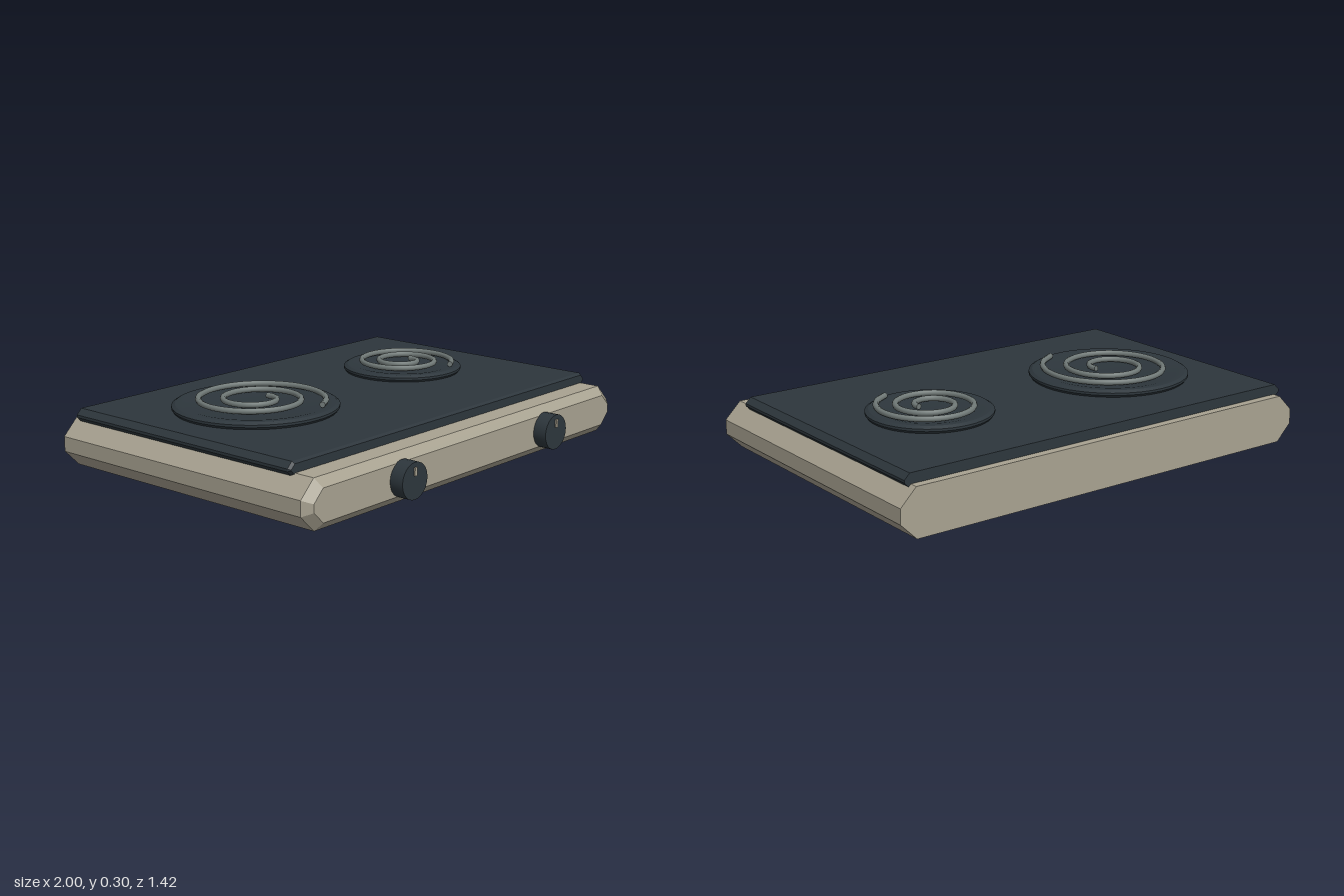
import * as THREE from 'three';
import { toCreasedNormals } from 'three/addons/utils/BufferGeometryUtils.js';

// Octagonal outline (a rectangle with cut corners), counter-clockwise seen from +z
function octagon(hx, y0, y1, cut, z) {
  return [
    [-hx + cut, y0], [hx - cut, y0], [hx, y0 + cut], [hx, y1 - cut],
    [hx - cut, y1], [-hx + cut, y1], [-hx, y1 - cut], [-hx, y0 + cut],
  ].map(([x, y]) => [x, y, z]);
}

// Joins outlines from back to front and closes both ends
function loft(rings) {
  const pos = [];
  const tri = (a, b, c) => pos.push(...a, ...b, ...c);
  for (let r = 0; r < rings.length - 1; r++) {
    const p = rings[r], q = rings[r + 1];
    for (let i = 0; i < p.length; i++) {
      const j = (i + 1) % p.length;
      tri(p[i], p[j], q[j]);
      tri(p[i], q[j], q[i]);
    }
  }
  const back = rings[0], front = rings[rings.length - 1];
  for (let i = 1; i < back.length - 1; i++) {
    tri(back[0], back[i + 1], back[i]);
    tri(front[0], front[i], front[i + 1]);
  }
  const geo = new THREE.BufferGeometry();
  geo.setAttribute('position', new THREE.Float32BufferAttribute(pos, 3));
  geo.computeVertexNormals();
  return geo;
}

export function createModel() {
  const material = (name, color) => {
    const m = new THREE.MeshStandardMaterial({ color });
    m.name = name;
    return m;
  };
  const beige = material('beige enamel', 0xa8a291);
  const dark = material('dark enamel', 0x2d363c);
  const steel = material('coil steel', 0x717a78);
  const model = new THREE.Group();
  model.name = 'hotPlate';
  const add = (parent, name, geo, mat) => {
    const mesh = new THREE.Mesh(geo, mat);
    mesh.name = name;
    parent.add(mesh);
    return mesh;
  };

  // Housing with a bevelled front edge and a flat back
  add(model, 'housing', loft([
    octagon(1, 0, 0.203, 0.07, -0.71),
    octagon(1, 0, 0.203, 0.07, 0.61),
    octagon(0.965, 0.035, 0.168, 0.05, 0.643),
  ]), beige);

  // Dark cooking surface
  add(model, 'topPlate', loft([
    octagon(0.958, 0.187, 0.246, 0.024, -0.675),
    octagon(0.958, 0.187, 0.246, 0.024, 0.506),
    octagon(0.95, 0.195, 0.238, 0.02, 0.518),
  ]), dark);

  // Burner: shallow dish with a spiral heating coil
  function burner(name, x, dishRadius, coilScale) {
    const g = new THREE.Group();
    g.name = name;
    g.position.set(x, 0, -0.135);
    const R = dishRadius;
    const profile = [
      [R - 0.012, 0.24], [R, 0.256], [R, 0.266], [R - 0.015, 0.275],
      [R - 0.045, 0.275], [R - 0.07, 0.27], [0, 0.27],
    ].map(([r, y]) => new THREE.Vector2(r, y));
    add(g, 'burnerDish', toCreasedNormals(new THREE.LatheGeometry(profile, 48), 0.5), dark);

    const points = [];
    const turns = 2.2, steps = 44, thickness = 0.0125;
    for (let i = 0; i <= steps; i++) {
      const t = i / steps;
      const angle = -t * turns * Math.PI * 2 + THREE.MathUtils.degToRad(70);
      const r = (0.293 - 0.223 * t) * coilScale;
      points.push(new THREE.Vector3(Math.cos(angle) * r, 0.287, Math.sin(angle) * r));
    }
    const path = new THREE.CatmullRomCurve3(points);
    add(g, 'heatingCoil', new THREE.TubeGeometry(path, 120, thickness, 8), steel);
    for (const t of [0, 1]) {
      const cap = add(g, 'coilEnd', new THREE.CircleGeometry(thickness, 8), steel);
      const out = path.getTangentAt(t).multiplyScalar(t ? 1 : -1);
      cap.position.copy(path.getPointAt(t));
      cap.quaternion.setFromUnitVectors(new THREE.Vector3(0, 0, 1), out);
    }
    model.add(g);
  }
  burner('largeBurner', -0.465, 0.345, 1);
  burner('smallBurner', 0.473, 0.262, 0.765);

  // Control knobs with a raised pointer mark
  for (const x of [-0.465, 0.471]) {
    const knob = new THREE.Group();
    knob.name = 'knob';
    knob.position.set(x, 0.103, 0);
    const body = new THREE.CylinderGeometry(0.075, 0.075, 0.064, 24).rotateX(Math.PI / 2);
    add(knob, 'knobBody', toCreasedNormals(body, 0.5), dark).position.z = 0.672;
    add(knob, 'knobPointer', new THREE.BoxGeometry(0.014, 0.034, 0.008), beige)
      .position.set(0, 0.038, 0.706);
    model.add(knob);
  }
  return model;
}
